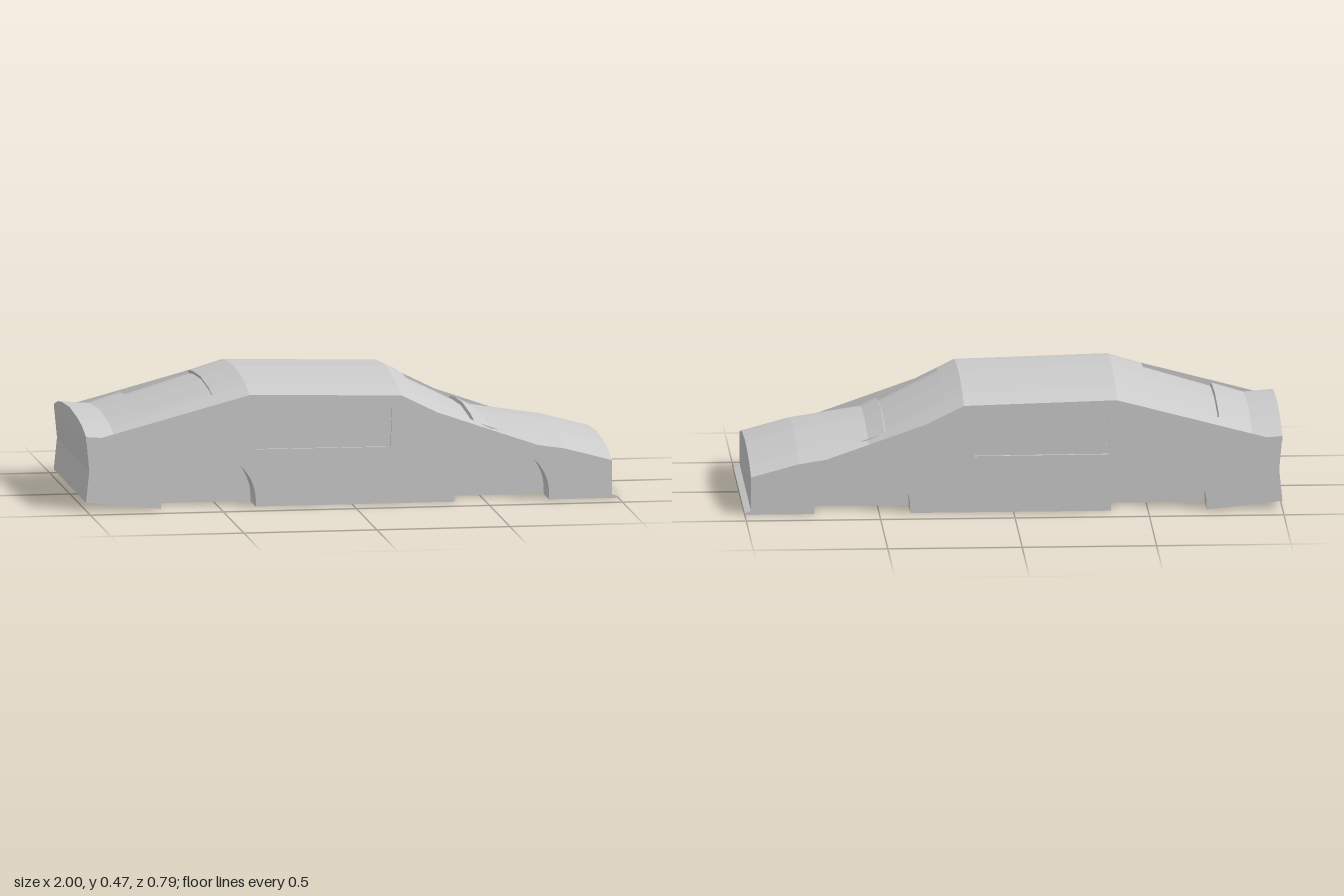
import * as THREE from 'three';

const material = new THREE.MeshStandardMaterial({ color: 0xcccccc, flatShading: true });
const HALF = 0.395;          // half width of the car
const CROWN = 0.049;         // rise of the roof line at the centre
// Shoulder line along the side, rear to nose
const shoulder = [[-1, 0.277], [-0.89, 0.268], [-0.385, 0.42], [0.185, 0.405],
  [0.535, 0.231], [0.8, 0.19], [0.977, 0.142]];
const archCentres = [0.5625, -0.54];
const ARCH_R = 0.178, ARCH_Y = 0.022;

function shoulderY(x) {
  let i = 0;
  while (i < shoulder.length - 2 && x > shoulder[i + 1][0]) i++;
  const [x0, y0] = shoulder[i], [x1, y1] = shoulder[i + 1];
  return y0 + (y1 - y0) * (x - x0) / (x1 - x0);
}

// Drop of the crowned skin away from the centre line
function crownDrop(z) {
  const pts = [[0, 0], [0.2, 0.011], [0.297, 0.024], [HALF, CROWN]];
  const a = Math.abs(z);
  let i = 0;
  while (i < 2 && a > pts[i + 1][0] + 1e-6) i++;
  const t = (a - pts[i][0]) / (pts[i + 1][0] - pts[i][0]);
  return pts[i][1] + t * (pts[i + 1][1] - pts[i][1]);
}

const toShape = (pts) => new THREE.Shape(pts.map(([x, y]) => new THREE.Vector2(x, y)));

function slab(shape, z0, z1) {
  const g = new THREE.ExtrudeGeometry(shape, { depth: z1 - z0, bevelEnabled: false, curveSegments: 20 });
  return g.translate(0, 0, z0);
}

function add(parent, name, geometry) {
  const mesh = new THREE.Mesh(geometry, material);
  mesh.name = name;
  parent.add(mesh);
}

// Side outline of the lower body, with or without wheel arches and window
function bodyShape(arches, window) {
  const s = toShape([...shoulder, [0.977, 0]]);
  if (arches) {
    for (const cx of archCentres) {
      s.lineTo(cx + ARCH_R, 0);
      s.lineTo(cx + ARCH_R, ARCH_Y);
      s.absarc(cx, ARCH_Y, ARCH_R, 0, Math.PI, false);
      s.lineTo(cx - ARCH_R, 0);
    }
  } else s.lineTo(-0.718, 0);
  s.lineTo(-1, 0.03);
  s.lineTo(-0.988, 0.15);
  if (window) {
    s.holes.push(toShape([[-0.36, 0.215], [0.145, 0.213], [0.15, 0.357], [-0.348, 0.368]]));
  }
  return s;
}

// Lengthwise section of the skin; windows are set in at right angles to it
function skinShape(recessed) {
  const top = shoulder.map(([x, y]) => [x, y + CROWN]);
  if (recessed) {
    const depth = 0.013;
    const recess = (a, b) => {
      const ya = shoulderY(a) + CROWN, yb = shoulderY(b) + CROWN;
      const len = Math.hypot(b - a, yb - ya);
      const dx = depth * (yb - ya) / len, dy = -depth * (b - a) / len;
      return [[a, ya], [a + dx, ya + dy], [b + dx, yb + dy], [b, yb]];
    };
    top.splice(4, 0, ...recess(0.252, 0.474));
    top.splice(2, 0, ...recess(-0.77, -0.51));
  }
  const under = shoulder.map(([x, y]) => [x, y - 0.02]).reverse();
  return toShape([...top, ...under]);
}

export function createModel() {
  const car = new THREE.Group();
  car.name = 'carBody';

  // Lower body: full centre, outer layers with arches, thin skins with window openings
  add(car, 'bodyCentre', slab(bodyShape(false, false), -0.26, 0.26));
  for (const [side, sign] of [['left', -1], ['right', 1]]) {
    const layer = (name, shape, a, b) =>
      add(car, side + name, slab(shape, Math.min(a * sign, b * sign), Math.max(a * sign, b * sign)));
    layer('ArchSection', bodyShape(true, false), 0.26, 0.385);
    layer('SidePanel', bodyShape(true, true), 0.385, HALF);
  }

  // Crowned bonnet, roof and tail in lengthwise bands
  const skin = new THREE.Group();
  skin.name = 'roofAndBonnet';
  car.add(skin);
  const stations = [-HALF, -0.297, -0.2, 0, 0.2, 0.297, HALF];
  for (let i = 0; i < stations.length - 1; i++) {
    const outer = i === 0 || i === stations.length - 2;
    const g = slab(skinShape(!outer), stations[i], stations[i + 1]);
    const p = g.attributes.position;
    for (let k = 0; k < p.count; k++) {
      if (p.getY(k) > shoulderY(p.getX(k))) p.setY(k, p.getY(k) - crownDrop(p.getZ(k)));
    }
    g.computeVertexNormals();
    add(skin, 'skinBand' + (i + 1), g);
  }

  // Thin lip below the nose
  add(car, 'frontLip', slab(toShape([[0.97, 0], [1, 0], [1, 0.006], [0.977, 0.015], [0.97, 0.015]]), -HALF, HALF));
  return car;
}
